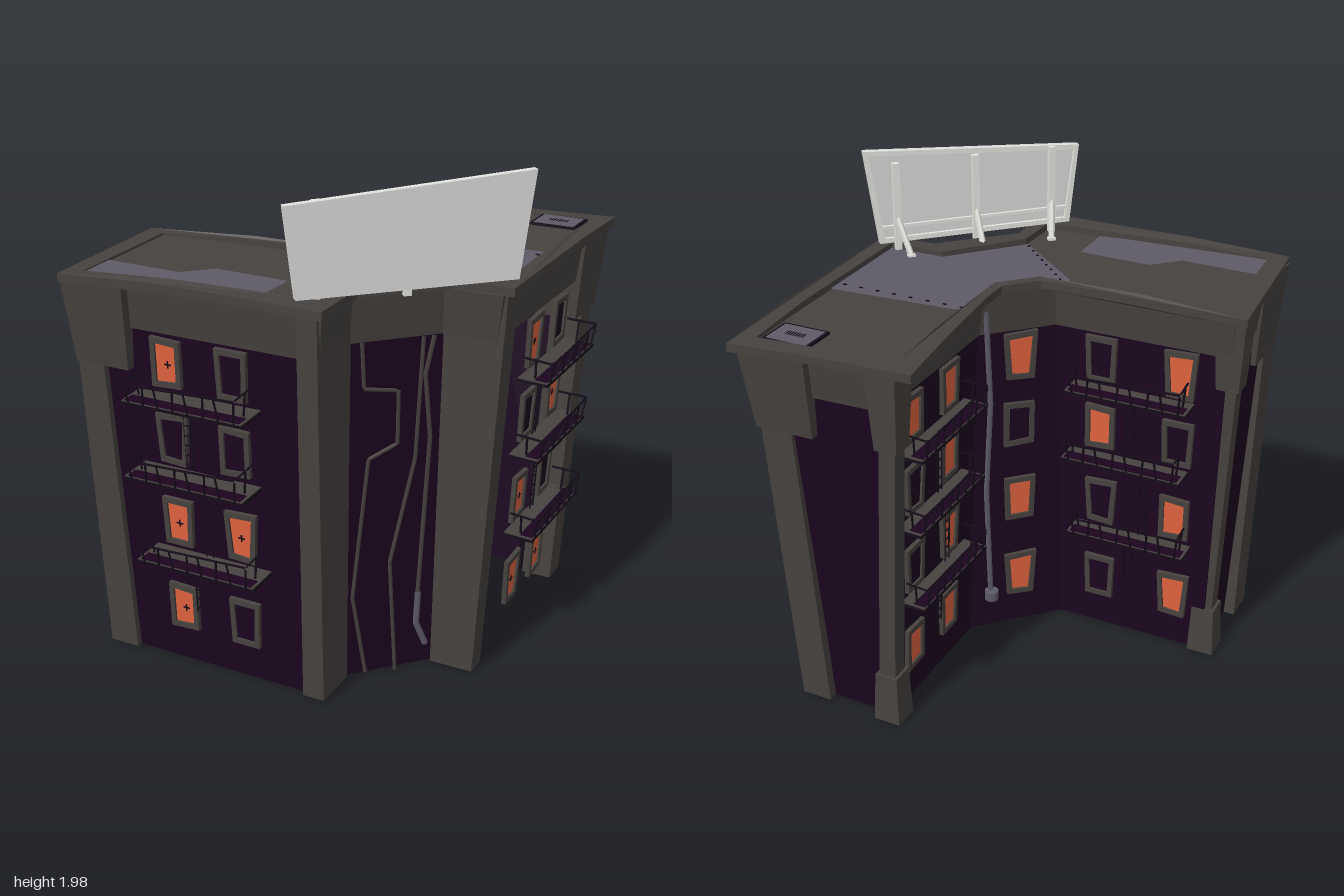
import * as THREE from 'three';

const mat = (name, color, side = THREE.FrontSide) => {
  const m = new THREE.MeshStandardMaterial({ color, side });
  m.name = name;
  return m;
};

export function createModel() {
  const stone = mat('stone grey', 0x46423f);
  const purple = mat('wall purple', 0x1b051e, THREE.DoubleSide);
  const orange = mat('lit window orange', 0xe0633f);
  const slate = mat('slate patch', 0x5e5b68);
  const iron = mat('iron black', 0x150b19);
  const panelGrey = mat('panel grey', 0xdcdcdc);
  const pale = mat('strut pale grey', 0xe8e8e2);

  const model = new THREE.Group();
  model.name = 'cornerBuilding';
  const add = (parent, name, geo, m, x = 0, y = 0, z = 0) => {
    const mesh = new THREE.Mesh(geo, m);
    mesh.name = name;
    mesh.position.set(x, y, z);
    parent.add(mesh);
    return mesh;
  };
  const box = (parent, name, m, w, h, d, x, y, z) =>
    add(parent, name, new THREE.BoxGeometry(w, h, d), m, x, y, z);
  const bar = (parent, name, m, a, b, r) => {
    const path = new THREE.LineCurve3(new THREE.Vector3(...a), new THREE.Vector3(...b));
    return add(parent, name, new THREE.TubeGeometry(path, 1, r, 4), m);
  };

  // plan polygons are [x, z] lists running front, right, back, left
  const flat = (p) => p.map(([x, z]) => new THREE.Vector2(x, -z));
  const loft = (name, m, p0, y0, p1, y1, caps = true, openSide = -1) => {
    const pos = [], n = p0.length;
    const put = (p, y) => pos.push(p[0], y, p[1]);
    for (let i = 0; i < n; i++) {
      if (i === openSide) continue;
      const j = (i + 1) % n;
      put(p0[i], y0); put(p0[j], y0); put(p1[j], y1);
      put(p0[i], y0); put(p1[j], y1); put(p1[i], y1);
    }
    if (caps) {
      for (const [a, b, c] of THREE.ShapeUtils.triangulateShape(flat(p1), [])) {
        put(p1[a], y1); put(p1[b], y1); put(p1[c], y1);
        put(p0[a], y0); put(p0[c], y0); put(p0[b], y0);
      }
    }
    const geo = new THREE.BufferGeometry();
    geo.setAttribute('position', new THREE.Float32BufferAttribute(pos, 3));
    geo.computeVertexNormals();
    return add(model, name, geo, m);
  };
  const rect = (x0, x1, z0, z1) => [[x0, z1], [x1, z1], [x1, z0], [x0, z0]];
  const mix = (p, q, t) => p.map((a, i) => [0, 1].map((k) => a[k] + (q[i][k] - a[k]) * t));
  // mitred outward offset of a plan polygon
  const grow = (p, d) => p.map((c, i) => {
    const a = p[(i + p.length - 1) % p.length], b = p[(i + 1) % p.length];
    const norm = (s, e) => new THREE.Vector2(-(e[1] - s[1]), e[0] - s[0]).normalize();
    const n1 = norm(a, c), n2 = norm(c, b), k = d / (1 + n1.dot(n2));
    return [c[0] + (n1.x + n2.x) * k, c[1] + (n1.y + n2.y) * k];
  });

  // walls flare outward toward the top, open underneath and behind the right-hand balconies
  const base = [[-.69, .64], [.21, .64], [.21, .475], [.455, .21], [.62, .21],
    [.62, -.69], [.24, -.69], [.24, -.05], [-.05, .24], [-.69, .24]];
  const top = [[-.75, .715], [.245, .715], [.245, .505], [.495, .245], [.70, .245],
    [.70, -.77], [.19, -.75], [.19, -.03], [-.03, .19], [-.745, .19]];
  loft('walls', purple, base, .03, top, 1.57, false, 4);
  loft('frieze', stone, grow(mix(base, top, .89), .012), 1.4, grow(top, .03), 1.579);

  // corner pillars and capitals
  loft('frontLeftPillar', stone, rect(-.735, -.61, .53, .665), .03, rect(-.757, -.645, .59, .725), 1.24);
  loft('frontLeftCapital', stone, rect(-.757, -.53, .49, .735), 1.24, rect(-.78, -.51, .47, .78), 1.572);
  loft('frontInnerPillar', stone, rect(.14, .228, .48, .665), .03, rect(.183, .262, .508, .755), 1.579);
  loft('rightInnerPillar', stone, rect(.46, .635, .14, .225), .03, rect(.503, .74, .155, .255), 1.579);
  loft('backRightPillar', stone, rect(.51, .635, -.73, -.62), .03, rect(.57, .70, -.765, -.655), 1.24);
  loft('backRightCapital', stone, rect(.47, .71, -.78, -.55), 1.24, rect(.46, .74, -.82, -.54), 1.572);
  const sq = (x, z, h) => rect(x - h, x + h, z - h, z + h);
  for (const [x, z, tx, tz] of [[-.69, .28, -.745, .235], [.245, -.685, .165, -.74]]) {
    loft('columnBase', stone, sq(x, z, .055), .02, sq(x, z, .047), .23);
    loft('columnShaft', stone, sq(x, z, .035), .23, sq(tx, tz, .033), 1.27);
    loft('columnCapital', stone, sq(tx, tz, .045), 1.26, sq(tx, tz, .062), 1.57);
  }

  // roof with raised rim, dipping slightly at the two far ends
  const outer = [[-.77, .80], [-.35, .79], [-.05, .785], [.30, .79], [.29, .52], [.545, .265], [.765, .262],
    [.76, -.45], [.75, -.855], [.46, -.82], [.04, -.80], [.07, -.45], [.10, -.12], [.10, -.01], [-.01, .105],
    [-.35, .11], [-.82, .14]];
  const inner = [[-.70, .735], [-.35, .715], [-.1, .70], [.23, .68], [.235, .475], [.47, .20], [.70, .20],
    [.69, -.45], [.68, -.77], [.13, -.73], [.135, -.45], [.14, .01], [.01, .14], [-.40, .155], [-.73, .19]];
  const lay = (geo, y) => geo.rotateX(-Math.PI / 2).translate(0, y, 0);
  const rim = new THREE.Shape(flat(outer));
  rim.holes.push(new THREE.Path(flat(inner)));
  const rimGeo = lay(new THREE.ExtrudeGeometry(rim, { depth: .032, bevelEnabled: false }), 1.577);
  const rp = rimGeo.attributes.position;
  for (let i = 0; i < rp.count; i++) {
    const far = Math.max(0, -rp.getX(i) - .35, -rp.getZ(i) - .45);
    rp.setY(i, rp.getY(i) - far * .045);
  }
  rimGeo.computeVertexNormals();
  add(model, 'roofRim', rimGeo, stone);
  const sheet = (name, m, pts, y) => add(model, name, lay(new THREE.ShapeGeometry(new THREE.Shape(flat(pts))), y), m);
  sheet('roofSurface', stone, inner, 1.583);
  sheet('cornerPatch', slate, [[.12, -.22], [.20, -.24], [.695, -.27], [.70, .20], [.47, .20],
    [.225, .475], [-.09, .20], [-.06, .15], [.01, .14], [.14, .01]], 1.588);
  sheet('leftPatch', slate, [[-.73, .57], [-.40, .58], [-.30, .48], [0, .49], [0, .685], [-.1, .70], [-.70, .735]], 1.588);
  for (let i = 0; i < 8; i++) {
    box(model, 'patchRivet', iron, .014, .004, .006, .16 + i * .072, 1.59, -.215);
    box(model, 'patchRivet', iron, .008, .004, .008, -.05 + i * .037, 1.59, .19 + i * .037);
  }
  // roof hatch
  box(model, 'hatchFrame', iron, .19, .012, .15, .57, 1.586, -.69);
  box(model, 'hatchLid', slate, .168, .008, .128, .57, 1.59, -.69);
  for (let i = 0; i < 8; i++) box(model, 'hatchSlot', iron, .004, .003, .028, .535 + i * .01, 1.594, -.69);

  // tilted frame for parts on a wall: x along the wall, z outward
  const wall = (name, angle, dist, flare) => {
    const g = new THREE.Group();
    g.name = name;
    g.rotation.set(Math.atan(flare / 1.54), angle, 0, 'YXZ');
    g.position.set(Math.sin(angle) * dist, 0, Math.cos(angle) * dist);
    model.add(g);
    return g;
  };
  const rowY = [1.29, .99, .645, .275];
  let count = 0;
  const windowAt = (g, u, y, lit, cross) => {
    const k = (count++ % 3 - 1) * .006;
    const quad = (w, h) => [[-w + k, -h], [w - .008, -h - k], [w + k, h + k], [-w - .005, h]]
      .map(([x, yy]) => new THREE.Vector2(x, yy));
    const frame = new THREE.Shape(quad(.063, .097));
    frame.holes.push(new THREE.Path(quad(.043, .075)));
    add(g, 'windowFrame', new THREE.ExtrudeGeometry(frame, { depth: .018, bevelEnabled: false }), stone, u, y, 0);
    if (!lit) {
      add(g, 'darkPane', new THREE.ShapeGeometry(new THREE.Shape(quad(.046, .078))), purple, u, y, .009);
      return;
    }
    add(g, 'litPane', new THREE.ShapeGeometry(new THREE.Shape(quad(.046, .078))), orange, u, y, .009);
    if (!cross) return;
    box(g, 'paneBar', iron, .028, .005, .004, u, y - .005, .01);
    box(g, 'paneBar', iron, .005, .028, .004, u, y - .005, .01);
  };
  const windows = (g, us, lit, cross) =>
    rowY.forEach((y, r) => us.forEach((u, c) => windowAt(g, u, y, lit[r][c] === '1', cross)));

  // balcony with leaning railing
  const balcony = (g, u, y, d) => {
    const b = new THREE.Group();
    b.name = 'balcony';
    b.position.set(u, y, 0);
    g.add(b);
    const h = .25;
    box(b, 'balconyFloor', stone, h * 2, .014, d, 0, 0, d / 2);
    box(b, 'floorTread', purple, h * 2 - .02, .004, .05, 0, .007, d - .028);
    box(b, 'floorEdge', iron, h * 2 + .008, .01, .006, 0, -.002, d);
    const rail = (a, c) => bar(b, 'railing', iron, a, c, .0048);
    const H = .088, D = d + .01, X = h - .03;
    rail([-X - .012, H - .012, D], [X + .012, H + .006, D]);
    for (const s of [-1, 1]) {
      const tip = H + s * .008;
      box(b, 'floorEdge', iron, .006, .01, d, s * h, -.002, d / 2);
      rail([s * (X + .005), tip, .01], [s * (X + .012), tip, D]);
      rail([s * X, 0, d * .5], [s * (X + .01), tip, d * .5]);
    }
    for (let i = 0; i <= 7; i++) {
      const x = -X + X * 2 * i / 7;
      rail([x, 0, d], [x + (i % 2 ? .01 : -.008), H, D]);
    }
  };
  const ladder = (g, u, y0, y1) => {
    for (const s of [-.015, .015]) bar(g, 'ladderRail', iron, [u + s, y0, .016], [u + s, y1, .016], .0035);
    for (let y = y0 + .02; y < y1; y += .04) box(g, 'ladderRung', iron, .03, .005, .005, u, y, .016);
  };
  const escape = (g, u, l, d) => {
    [1.168, .862, .517].forEach((y, i) => balcony(g, u + [0, -.015, .01][i], y, d));
    ladder(g, l, .88, 1.168);
    ladder(g, l + .06, .53, .862);
    ladder(g, l, .27, .517);
  };

  const front = wall('frontWall', 0, .642, .075);
  windows(front, [-.37, -.1], ['10', '00', '11', '10'], true);
  escape(front, -.245, -.3, .134);
  const right = wall('rightWall', Math.PI / 2, .622, .08);
  windows(right, [.13, .395], ['10', '01', '10', '11'], true);
  escape(right, .265, .21, .116);
  const back = wall('backWall', Math.PI, -.238, .05);
  windows(back, [.235, .56], ['01', '10', '01', '01'], false);
  escape(back, .365, .36, .1);
  const left = wall('courtWall', -Math.PI / 2, -.238, .05);
  windows(left, [-.54, -.27], ['11', '01', '01', '11'], false);
  escape(left, -.39, -.36, .1);
  box(left, 'litVent', orange, .075, .026, .008, -.505, .215, -.008);
  const court = wall('courtCorner', Math.PI * 1.25, -.132, .021);
  windows(court, [.012], ['1', '0', '1', '1'], false);

  // pipes and cables on the chamfered corners
  const pipe = (g, name, m, r, pts) => {
    const path = new THREE.CurvePath();
    const v = pts.map(([u, y]) => new THREE.Vector3(u, y, r));
    for (let i = 1; i < v.length; i++) path.add(new THREE.LineCurve3(v[i - 1], v[i]));
    add(g, name, new THREE.TubeGeometry(path, 120, r, 5), m);
  };
  const corner = wall('frontCorner', Math.PI / 4, .476, .05);
  pipe(corner, 'cable', stone, .008, [[-.13, 1.4], [-.12, 1.22], [.01, 1.2], [.01, .99], [-.1, .94], [-.155, .37], [-.1, .03]]);
  pipe(corner, 'cable', stone, .008, [[.1, 1.4], [.08, .92], [-.01, .5], [.02, .02]]);
  pipe(corner, 'cable', stone, .009, [[.14, 1.4], [.11, 1.25], [.135, 1.0], [.105, .35]]);
  pipe(corner, 'drainPipe', slate, .013, [[.105, .36], [.1, .22], [.14, .12]]);
  pipe(court, 'drainPipe', slate, .012, [[-.13, 1.5], [-.115, 1.1], [-.135, .7], [-.12, .18]]);
  add(court, 'pipeValve', new THREE.CylinderGeometry(.03, .03, .04, 8), slate, -.12, .2, .025);

  // blank sign board with struts, on the roof corner
  const sign = wall('signBoard', Math.PI / 4, .634, 0);
  const outline = (i) => [[-.40 + i, 1.615 + i], [.405 - i, 1.615 + i], [.457 - i, 2 - i], [-.438 + i, 1.94 - i]]
    .map(([x, y]) => new THREE.Vector2(x, y));
  add(sign, 'signPanel', new THREE.ExtrudeGeometry(new THREE.Shape(outline(0)), { depth: .016, bevelEnabled: false }), panelGrey);
  const edge = new THREE.Shape(outline(0));
  edge.holes.push(new THREE.Path(outline(.02)));
  add(sign, 'signFrame', new THREE.ExtrudeGeometry(edge, { depth: .014, bevelEnabled: false }), pale, 0, 0, -.014);
  box(sign, 'signRail', pale, .79, .012, .012, 0, 1.68, -.008);
  for (const [u, foot] of [[-.318, -.285], [.005, .005], [.332, .305]]) {
    box(sign, 'signPost', pale, .028, .36, .022, u, 1.765, -.02);
    bar(sign, 'signBrace', pale, [u, 1.72, -.02], [foot, 1.59, -.115], .013);
    box(sign, 'braceFoot', pale, .03, .012, .024, foot, 1.59, -.115);
  }
  return model;
}
